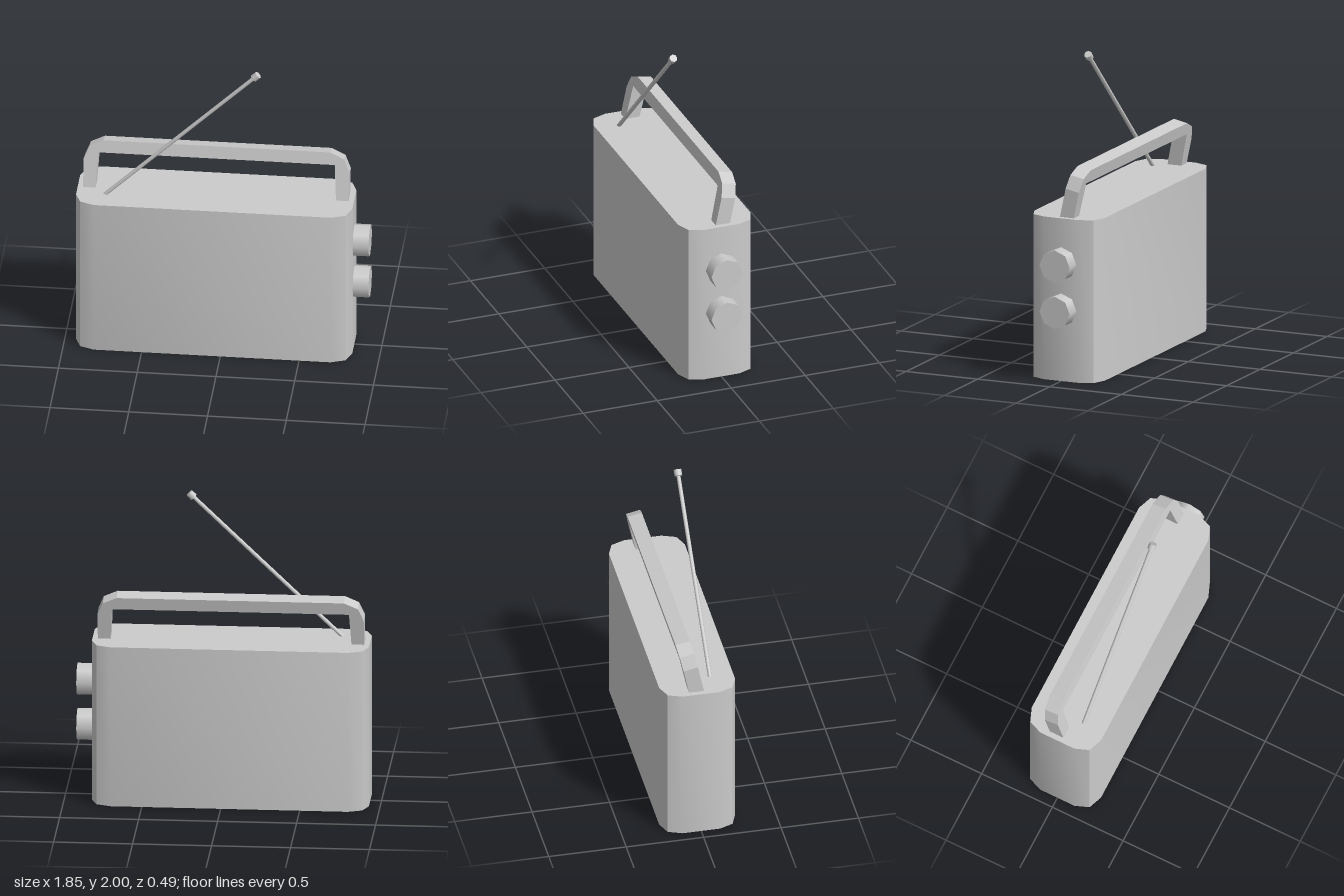
import * as THREE from 'three';
import { toCreasedNormals } from 'three/addons/utils/BufferGeometryUtils.js';

const MID_X = -0.052;   // middle of the case
const TOP_Y = 1.055;    // top of the case

export function createModel() {
  const material = new THREE.MeshStandardMaterial({ color: 0xcccccc });
  const group = new THREE.Group();
  const add = (name, geometry) => {
    const mesh = new THREE.Mesh(geometry, material);
    mesh.name = name;
    group.add(mesh);
    return mesh;
  };
  const shapeOf = (points) => new THREE.Shape(points.map(([x, y]) => new THREE.Vector2(x, y)));
  const mirrorX = (points) => points.map(([x, y]) => [-x, y]).reverse();

  // Case: a box with rounded-off vertical corners, extruded upwards
  const corner = [[0.877, 0.12], [0.842, 0.21], [0.752, 0.245]];
  const half = [...corner, ...mirrorX(corner)];
  const outline = [...half, ...half.map(([x, z]) => [-x, -z])];
  const caseGeometry = new THREE.ExtrudeGeometry(shapeOf(outline), { depth: TOP_Y, bevelEnabled: false });
  caseGeometry.rotateX(-Math.PI / 2).translate(MID_X, 0, 0);
  add('case', toCreasedNormals(caseGeometry, 0.6));

  // Handle: a bracket leaning back, with its feet cut level with the case
  const outer = [[0.843, 0], [0.843, 0.187], [0.808, 0.27], [0.72, 0.31]];
  const inner = [[-0.763, 0], [-0.75, 0.23]];
  const bracket = [...outer, ...mirrorX(outer), ...inner, ...mirrorX(inner)];
  const handleGeometry = new THREE.ExtrudeGeometry(shapeOf(bracket), { depth: 0.096, bevelEnabled: false });
  const pos = handleGeometry.attributes.position;
  for (let i = 0; i < pos.count; i++) {
    const y = pos.getY(i);
    const z = pos.getZ(i) - 0.096;
    const tilt = y > 0 ? 0.2 * z : 0;
    pos.setXYZ(i, pos.getX(i) + MID_X, TOP_Y + y + tilt, 0.025 + z - 0.21 * (y + tilt));
  }
  handleGeometry.computeVertexNormals();
  add('handle', handleGeometry);

  // Two eight-sided knobs on the left side
  for (const [name, y] of [['upperKnob', 0.763], ['lowerKnob', 0.463]]) {
    const knob = add(name, new THREE.CylinderGeometry(0.105, 0.105, 0.105, 8));
    knob.rotation.z = -Math.PI / 2;
    knob.position.set(0.873, y, 0);
  }

  // Aerial: a thin slanted rod with a small tip
  const foot = new THREE.Vector3(-0.75, 1.05, 0.095);
  const end = new THREE.Vector3(0.21, 1.968, 0.095);
  const direction = end.clone().sub(foot);
  const slant = new THREE.Quaternion().setFromUnitVectors(
    new THREE.Vector3(0, 1, 0), direction.clone().normalize());
  const rod = add('aerialRod', new THREE.CylinderGeometry(0.013, 0.013, direction.length(), 8));
  rod.position.copy(foot).lerp(end, 0.5);
  rod.quaternion.copy(slant);
  const tip = add('aerialTip', new THREE.CylinderGeometry(0.025, 0.025, 0.04, 8));
  tip.position.copy(end);
  tip.quaternion.copy(slant);

  return group;
}
